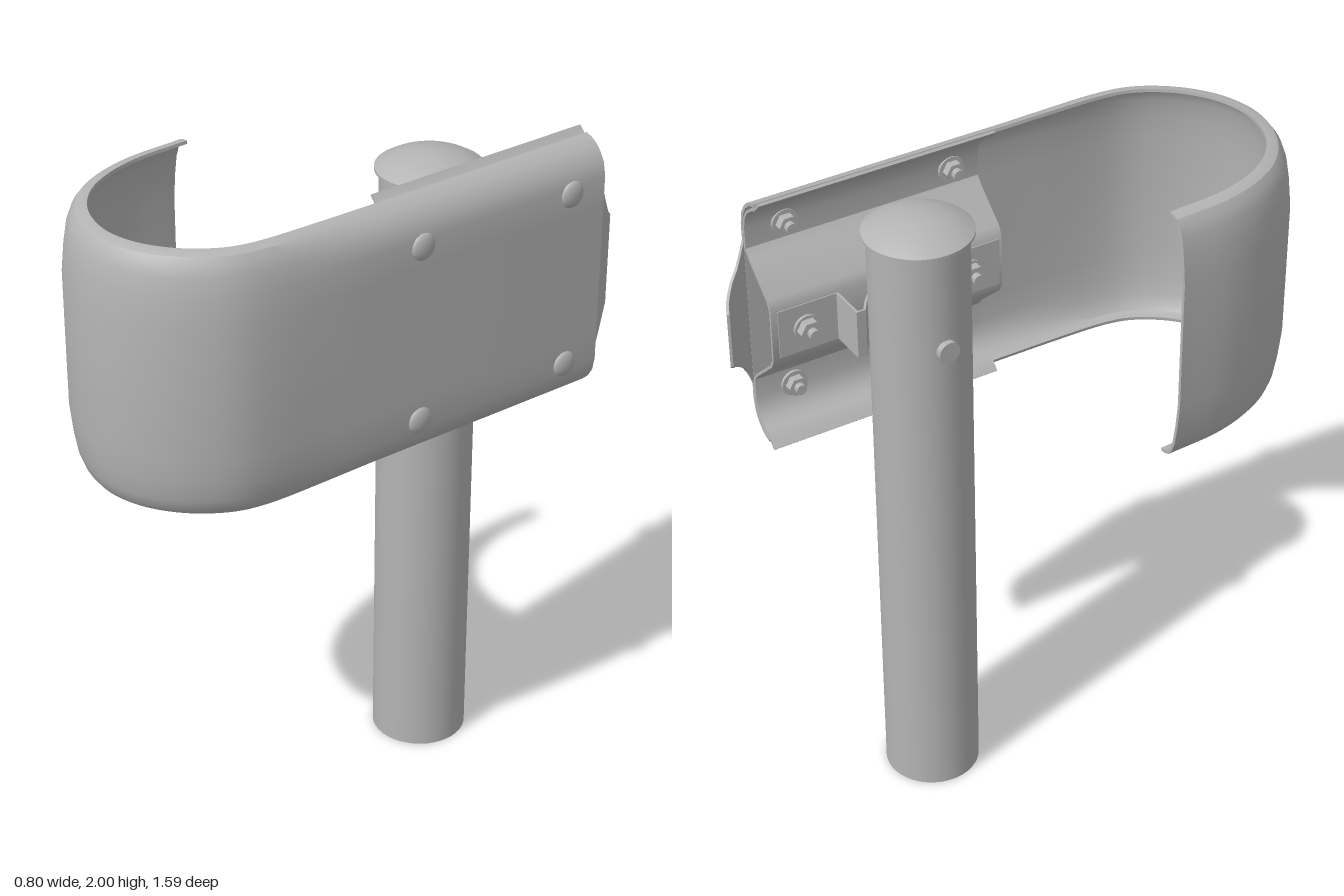
import * as THREE from 'three';
import { toCreasedNormals } from 'three/addons/utils/BufferGeometryUtils.js';

const MID = 1.588; // height of the beam's centre line

// Mitred left-hand normals of an open 2D polyline
function leftNormals(pts) {
  const seg = pts.slice(1).map((p, i) => {
    const dx = p[0] - pts[i][0], dy = p[1] - pts[i][1], l = Math.hypot(dx, dy);
    return [-dy / l, dx / l];
  });
  return pts.map((_, i) => {
    const a = seg[Math.max(i - 1, 0)], b = seg[Math.min(i, seg.length - 1)];
    const k = 1 + a[0] * b[0] + a[1] * b[1];
    return [(a[0] + b[0]) / k, (a[1] + b[1]) / k];
  });
}

// Sheet swept along a plan path [x, z]; section(i) gives [inset, height] points from bottom to top
function sweepSheet(path, section, thickness) {
  const pos = [], index = [], normals = leftNormals(path);
  let n = 0;
  path.forEach((p, j) => {
    const outer = section(j), on = leftNormals(outer);
    const inner = outer.map((q, i) => [q[0] - on[i][0] * thickness, q[1] - on[i][1] * thickness]);
    const ring = [...outer, ...inner.reverse()];
    n = ring.length;
    for (const [d, y] of ring) pos.push(p[0] + normals[j][0] * d, MID + y, p[1] + normals[j][1] * d);
  });
  for (let j = 0; j < path.length - 1; j++) {
    for (let i = 0; i < n; i++) {
      const a = j * n + i, b = j * n + (i + 1) % n;
      index.push(a, b, b + n, a, b + n, a + n);
    }
  }
  const e = (path.length - 1) * n;
  for (let i = 0; i < n / 2 - 1; i++) {
    const o = i, o2 = i + 1, q = n - 1 - i, q2 = n - 2 - i;
    index.push(o, q, q2, o, q2, o2, e + o, e + o2, e + q2, e + o, e + q2, e + q);
  }
  const g = new THREE.BufferGeometry();
  g.setAttribute('position', new THREE.Float32BufferAttribute(pos, 3));
  g.setIndex(index);
  return toCreasedNormals(g, 0.5);
}

// Full section from its upper half
const mirrorSection = half => [...half.map(([d, y]) => [d, -y]).reverse(), ...half];

export function createModel() {
  const group = new THREE.Group();
  const steel = new THREE.MeshStandardMaterial({ color: 0xb4b4b4 });
  steel.name = 'galvanised steel';
  const add = (name, geometry, parent = group) => {
    const mesh = new THREE.Mesh(geometry, steel);
    mesh.name = name;
    parent.add(mesh);
    return mesh;
  };
  // Cylinder lying along x between two x values
  const rod = (name, parent, x0, x1, r, y, z, sides = 20) => {
    const m = add(name, new THREE.CylinderGeometry(r, r, Math.abs(x1 - x0), sides), parent);
    m.geometry = toCreasedNormals(m.geometry, 0.6);
    m.rotation.z = Math.PI / 2;
    m.position.set((x0 + x1) / 2, y, z);
  };

  // Post with domed cap
  const px = 0.073, pz = -0.315;
  add('post', new THREE.CylinderGeometry(0.143, 0.143, 1.89, 40)).position.set(px, 0.945, pz);
  const capPoints = [[0.14, 1.882], [0.157, 1.892], [0.157, 1.9], [0.125, 1.919], [0.085, 1.934], [0.04, 1.943], [0, 1.945]]
    .map(p => new THREE.Vector2(...p));
  add('postCap', toCreasedNormals(new THREE.LatheGeometry(capPoints, 40), 0.5)).position.set(px, 0, pz);

  // Curved end terminal: straight run, then a hook round the front
  const bend = new THREE.CatmullRomCurve3([
    [0.385, 0.05], [0.382, 0.25], [0.372, 0.45], [0.352, 0.54], [0.31, 0.62], [0.24, 0.7], [0.14, 0.765],
    [0.02, 0.795], [-0.1, 0.78], [-0.2, 0.735], [-0.29, 0.655], [-0.352, 0.55], [-0.39, 0.42], [-0.403, 0.235],
  ].map(([x, z]) => new THREE.Vector3(x, 0, z)));
  const path = [[0.385, -0.69], ...bend.getPoints(72).map(p => [p.x, p.z])];
  const straightHalf = [[0, 0], [0, 0.2], [0, 0.29], [0.008, 0.33], [0.025, 0.358], [0.045, 0.377], [0.065, 0.388], [0.085, 0.393]];
  const hookHalf = [[0, 0], [0.002, 0.2], [0.01, 0.28], [0.019, 0.335], [0.031, 0.368], [0.045, 0.387], [0.06, 0.393], [0.078, 0.395]];
  const terminalSection = j => {
    const t = path[j][0] < 0 ? 1 : THREE.MathUtils.smoothstep(path[j][1], 0.05, 0.5);
    return mirrorSection(straightHalf.map(([d, y], i) => [
      THREE.MathUtils.lerp(d, hookHalf[i][0], t), THREE.MathUtils.lerp(y, hookHalf[i][1], t),
    ]).slice(1));
  };
  add('endTerminal', sweepSheet(path, terminalSection, 0.01));

  // Tapered tab curling inward at the rear
  const tabPath = [[0.283, -0.8], [0.305, -0.79], [0.328, -0.773], [0.35, -0.752], [0.369, -0.725], [0.38, -0.705], [0.385, -0.688]];
  const tabHalf = [0.085, 0.105, 0.12, 0.14, 0.165, 0.2, 0.245];
  add('rearTab', sweepSheet(tabPath, j => [[0, -tabHalf[j]], [0, 0], [0, tabHalf[j]]], 0.008));

  // Corrugated beam end behind the terminal
  const beamHalf = [[0.128, 0.08], [0.115, 0.105], [0.02, 0.19], [0, 0.215], [0, 0.285], [0.008, 0.32],
    [0.025, 0.347], [0.05, 0.367], [0.075, 0.38], [0.1, 0.407]];
  add('beam', sweepSheet([[0.374, -0.69], [0.374, 0.05]], () => mirrorSection(beamHalf), 0.008));

  // Strap clasping the post, with a foot on either side
  const strapPath = [[0.242, -0.67], [0.242, -0.48], [0.128, -0.48], [0.128, -0.462]];
  for (let i = 1; i < 12; i++) {
    const a = THREE.MathUtils.lerp(-1.2, 1.2, i / 12);
    strapPath.push([px + 0.153 * Math.cos(a), pz + 0.153 * Math.sin(a)]);
  }
  strapPath.push([0.128, -0.168], [0.128, -0.155], [0.242, -0.155], [0.242, 0.04]);
  add('postStrap', sweepSheet(strapPath, () => [[0, -0.075], [0, 0.075]], 0.007));

  // Bolts through the beam crests
  for (const y of [MID - 0.268, MID + 0.268]) {
    for (const z of [-0.57, -0.04]) {
      const bolt = new THREE.Group();
      bolt.name = 'crestBolt';
      group.add(bolt);
      const head = add('domedHead', new THREE.SphereGeometry(0.04, 20, 8, 0, Math.PI * 2, 0, Math.PI / 2), bolt);
      head.scale.y = 0.4;
      head.rotation.z = -Math.PI / 2;
      head.position.set(0.384, y, z);
      rod('washer', bolt, 0.368, 0.357, 0.04, y, z);
      rod('nut', bolt, 0.358, 0.333, 0.03, y, z, 6);
      rod('shank', bolt, 0.335, 0.315, 0.016, y, z, 12);
    }
  }

  // Bolts holding the strap feet to the beam valley
  for (const z of [-0.585, -0.06]) {
    const bolt = new THREE.Group();
    bolt.name = 'footBolt';
    group.add(bolt);
    rod('washer', bolt, 0.237, 0.226, 0.04, MID, z);
    rod('nut', bolt, 0.228, 0.2, 0.034, MID, z, 6);
    rod('shank', bolt, 0.202, 0.18, 0.016, MID, z, 12);
  }

  // Bolt head on the far side of the post
  rod('postBolt', group, -0.06, -0.087, 0.032, MID, pz);
  return group;
}
